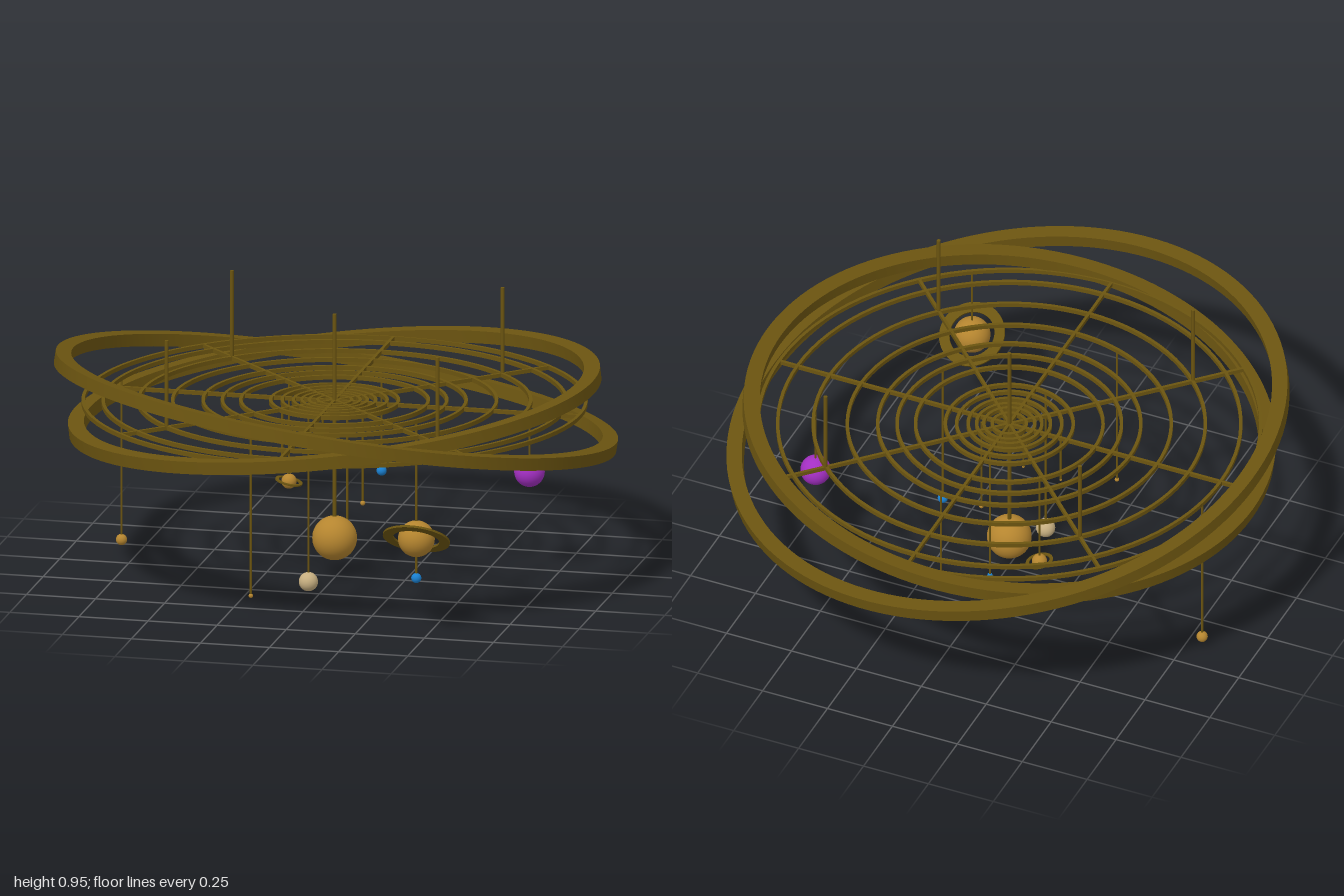
import * as THREE from 'three';
import { toCreasedNormals } from 'three/addons/utils/BufferGeometryUtils.js';

const mat = (name, color) => {
  const m = new THREE.MeshStandardMaterial({ color });
  m.name = name;
  return m;
};

export function createModel() {
  const brass = mat('brass', 0x6b5410);
  const gold = mat('gold', 0xb5852f);
  const purple = mat('purple', 0xa32fc2);
  const blue = mat('blue', 0x1a80d0);
  const sand = mat('sand', 0xc6ae80);

  const model = new THREE.Group();
  model.name = 'hangingOrrery';
  const deckY = 0.637, cx = -0.005;

  const add = (name, geometry, material, x = 0, y = 0, z = 0, parent = model) => {
    const mesh = new THREE.Mesh(geometry, material);
    mesh.name = name;
    mesh.position.set(x, y, z);
    parent.add(mesh);
    return mesh;
  };

  // Flat hoop with a rectangular section
  const hoop = (inner, outer, height, segments = 96) => {
    const h = height / 2;
    const section = [[inner, -h], [outer, -h], [outer, h], [inner, h], [inner, -h]];
    const points = section.map(([r, y]) => new THREE.Vector2(r, y));
    return toCreasedNormals(new THREE.LatheGeometry(points, segments), 0.6);
  };

  // Vertical rod between two heights
  const rod = (name, x, z, y0, y1, radius) =>
    add(name, new THREE.CylinderGeometry(radius, radius, y1 - y0, 10), brass, x, (y0 + y1) / 2, z);

  // Two big tilted bands
  const up = new THREE.Vector3(0, 1, 0);
  const outerBand = add('outerBand', hoop(0.947, 1.002, 0.045, 128), brass, 0, 0.64, 0);
  outerBand.quaternion.setFromUnitVectors(up, new THREE.Vector3(0.132, 1, -0.132).normalize());
  const innerBand = add('innerBand', hoop(0.885, 0.942, 0.045, 128), brass, cx, 0.64, 0);
  innerBand.rotation.z = Math.atan(0.112);

  // Concentric orbit hoops
  const orbits = [0.06, 0.09, 0.115, 0.145, 0.185, 0.225, 0.33, 0.395, 0.463, 0.57, 0.69, 0.815, 0.885];
  for (const r of orbits) add('orbitHoop', hoop(r - 0.006, r + 0.006, 0.015), brass, cx, deckY, 0);

  // Four bars across the centre make eight spokes
  for (let i = 0; i < 4; i++) {
    const bar = add('spokeBar', new THREE.BoxGeometry(1.77, 0.014, 0.011), brass, cx, deckY, 0);
    bar.rotation.y = (i * Math.PI) / 4;
  }

  // Ceiling rods
  for (const sx of [-1, 1])
    for (const sz of [-1, 1]) rod('ceilingRod', cx + sx * 0.49, sz * 0.49, deckY, 0.955, 0.007);
  rod('centreRod', cx, 0, 0.14, 0.955, 0.007);

  // Sun and hanging planets: name, x, y, z, radius, material
  add('sun', new THREE.SphereGeometry(0.079, 40, 28), gold, cx, 0.14, 0);
  const planets = [
    ['tinyInnerPlanet', -0.035, 0.42, 0.055, 0.005, gold],
    ['tinyAmberPlanet', 0.09, 0.265, -0.028, 0.009, gold],
    ['smallBluePlanet', 0.007, 0.06, -0.14, 0.01, blue],
    ['tinyMidPlanet', -0.185, 0.42, 0.04, 0.005, gold],
    ['sandPlanet', -0.047, 0.035, 0.22, 0.034, sand],
    ['smallRingedPlanet', -0.228, 0.27, -0.24, 0.027, gold],
    ['bluePlanet', 0.337, 0.065, 0.193, 0.018, blue],
    ['farBluePlanet', 0.055, 0.27, -0.457, 0.018, blue],
    ['tinyOuterPlanet', -0.177, 0.06, 0.545, 0.008, gold],
    ['purplePlanet', 0.652, 0.37, -0.2, 0.054, purple],
    ['amberPlanet', -0.81, 0.047, -0.14, 0.02, gold],
    ['largeRingedPlanet', 0.47, 0.36, 0.745, 0.065, gold],
  ];
  for (const [name, x, y, z, r, material] of planets) {
    add(name, new THREE.SphereGeometry(r, 32, 20), material, x, y, z);
    rod(name + 'Rod', x, z, y, deckY, 0.004);
  }

  // Planet rings
  const largeRing = add('largePlanetRing', hoop(0.082, 0.119, 0.008, 64), brass, 0.47, 0.36, 0.745);
  largeRing.rotation.x = -0.63;
  const smallRing = add('smallPlanetRing', hoop(0.037, 0.049, 0.005, 48), brass, -0.228, 0.27, -0.24);
  smallRing.rotation.z = -0.22;

  return model;
}
